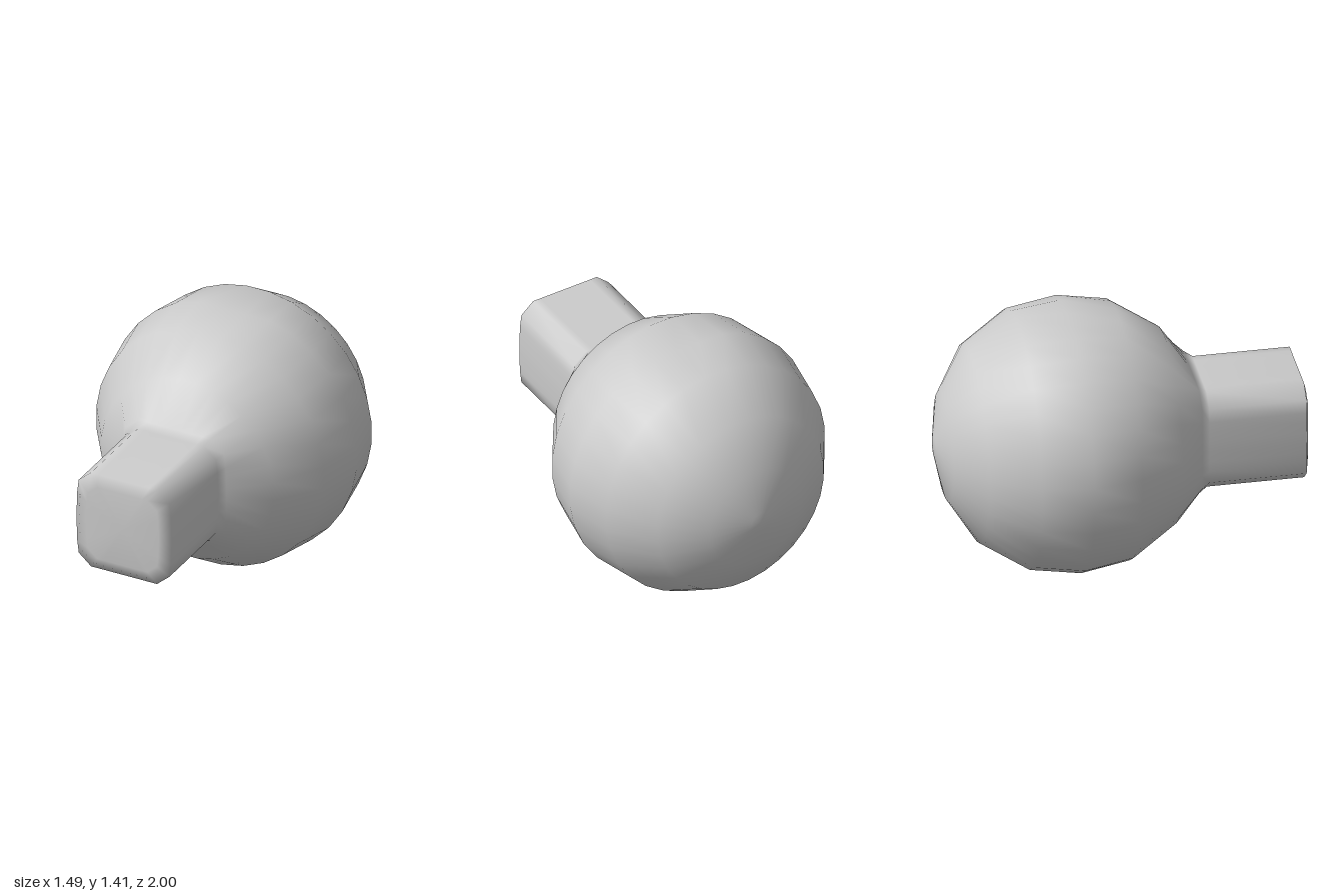
import * as THREE from 'three';

const SIDES = 32;
const CENTRE_Y = 0.705;

// One quarter of the neck outline: a square with cut corners
const NECK = [[0.288, 0.03], [0.286, 0.09], [0.284, 0.15], [0.275, 0.225],
  [0.2, 0.29], [0.155, 0.29], [0.09, 0.29], [0.03, 0.29]];

// Round section of the ball, flattened at top and bottom
function roundRing(z, rx, ry) {
  return Array.from({ length: SIDES }, (_, k) => {
    const a = ((k + 0.5) / SIDES) * Math.PI * 2;
    const y = THREE.MathUtils.clamp(Math.sin(a) * ry, -0.705, 0.705);
    return [Math.cos(a) * rx, y, z];
  });
}

// Neck section, mirrored from the quarter outline
function neckRing(z, s) {
  return Array.from({ length: SIDES }, (_, k) => {
    const q = k >> 3, j = k % 8;
    const [x, y] = NECK[q % 2 ? 7 - j : j];
    return [(q === 1 || q === 2 ? -x : x) * s, (q > 1 ? -y : y) * s, z];
  });
}

// Skin a row of rings from back to front and close both ends
function loft(rings, backZ, frontZ) {
  const points = [...rings.flat(), [0, 0, backZ], [0, 0, frontZ]];
  const back = rings.length * SIDES, front = back + 1;
  const index = [];
  for (let k = 0; k < SIDES; k++) {
    const n = (k + 1) % SIDES;
    for (let i = 0; i < rings.length - 1; i++) {
      const a = i * SIDES + k, b = i * SIDES + n;
      index.push(a, b, b + SIDES, a, b + SIDES, a + SIDES);
    }
    const last = (rings.length - 1) * SIDES;
    index.push(back, n, k, front, last + k, last + n);
  }
  const geometry = new THREE.BufferGeometry();
  geometry.setAttribute('position', new THREE.Float32BufferAttribute(points.flat(), 3));
  geometry.setIndex(index);
  geometry.computeVertexNormals();
  return geometry;
}

export function createModel() {
  const group = new THREE.Group();
  group.name = 'knob';

  const rings = [
    // ball
    roundRing(-0.998, 0.06, 0.06),
    roundRing(-0.945, 0.29, 0.3),
    roundRing(-0.795, 0.525, 0.542),
    roundRing(-0.54, 0.692, 0.708),
    roundRing(-0.265, 0.748, 0.748),
    roundRing(0.005, 0.692, 0.708),
    roundRing(0.26, 0.525, 0.542),
    // collar, neck and softened neck end
    neckRing(0.405, 1.09),
    neckRing(0.45, 1),
    neckRing(0.98, 1),
    neckRing(0.999, 0.76),
  ];

  const body = new THREE.Mesh(
    loft(rings, -1, 1),
    new THREE.MeshStandardMaterial({ color: 0xcccccc }),
  );
  body.name = 'ballWithNeck';
  body.position.y = CENTRE_Y;
  group.add(body);
  return group;
}
